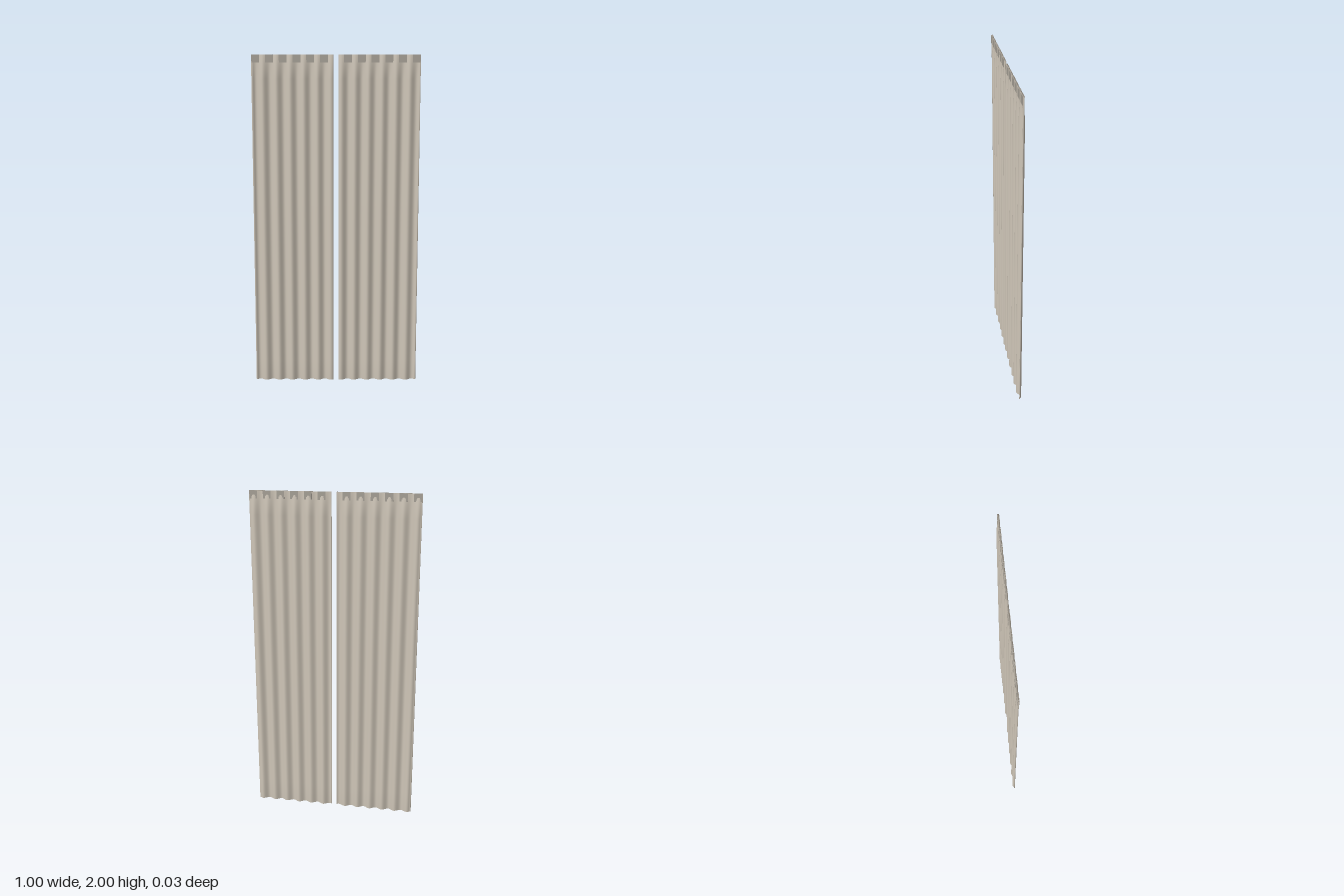
import * as THREE from 'three';
import { mergeVertices } from 'three/addons/utils/BufferGeometryUtils.js';

const INNER = 0.015, OUTER = 0.5;   // panel edges, measured from the middle
const PITCH = 0.0808;               // distance between folds
const FIRST = 0.475;                // outermost fold (and tab) centre
const ROWS = [0, 0.13, 0.6, 1.1, 1.86, 2];

// Depth of the pleats: flat at the heading, full below it
const pleatDepth = (y) => (y > 1.9 ? 0 : 0.0093 + 0.0007 * (1 - y / 2));

// A closed thin slab whose points are pushed into pleats
function panelGeometry(side) {
  const width = OUTER - INNER;
  let geo = new THREE.BoxGeometry(width, ROWS.length - 1, 1, 96, ROWS.length - 1, 1);
  geo.deleteAttribute('normal');
  geo.deleteAttribute('uv');
  geo = mergeVertices(geo);
  const pos = geo.attributes.position;
  for (let i = 0; i < pos.count; i++) {
    const x = pos.getX(i) + side * (INNER + OUTER) / 2;
    const row = Math.round(pos.getY(i) + (ROWS.length - 1) / 2);
    const y = ROWS[row];
    const phase = (2 * Math.PI * (Math.abs(x) - FIRST)) / PITCH;
    // ease the last bit of the outer edge back to the centre plane
    const ease = Math.min(1, (OUTER - Math.abs(x)) / 0.015);
    const wave = -0.001 - pleatDepth(y) * Math.cos(phase) * ease;
    const thickness = y > 1.9 ? 0.008 : 0.0055;
    pos.setXYZ(i, x, y, (y > 1.9 ? 0 : wave) + pos.getZ(i) * thickness);
  }
  geo.computeVertexNormals();
  return geo;
}

export function createModel() {
  const model = new THREE.Group();
  model.name = 'curtains';
  const cloth = new THREE.MeshStandardMaterial({ color: 0xcfc6b8 });
  const tabCloth = new THREE.MeshStandardMaterial({ color: 0xa8a298 });
  const tabGeo = new THREE.BoxGeometry(0.046, 0.046, 0.011);

  for (const side of [1, -1]) {
    const curtain = new THREE.Group();
    curtain.name = side > 0 ? 'leftCurtain' : 'rightCurtain';

    const panel = new THREE.Mesh(panelGeometry(side), cloth);
    panel.name = 'pleatedPanel';
    curtain.add(panel);

    // Hanging tabs along the heading
    for (let i = 0; i < 6; i++) {
      const tab = new THREE.Mesh(tabGeo, tabCloth);
      tab.name = 'headingTab';
      tab.position.set(side * (FIRST - i * PITCH), 1.977, 0);
      curtain.add(tab);
    }
    model.add(curtain);
  }
  return model;
}
